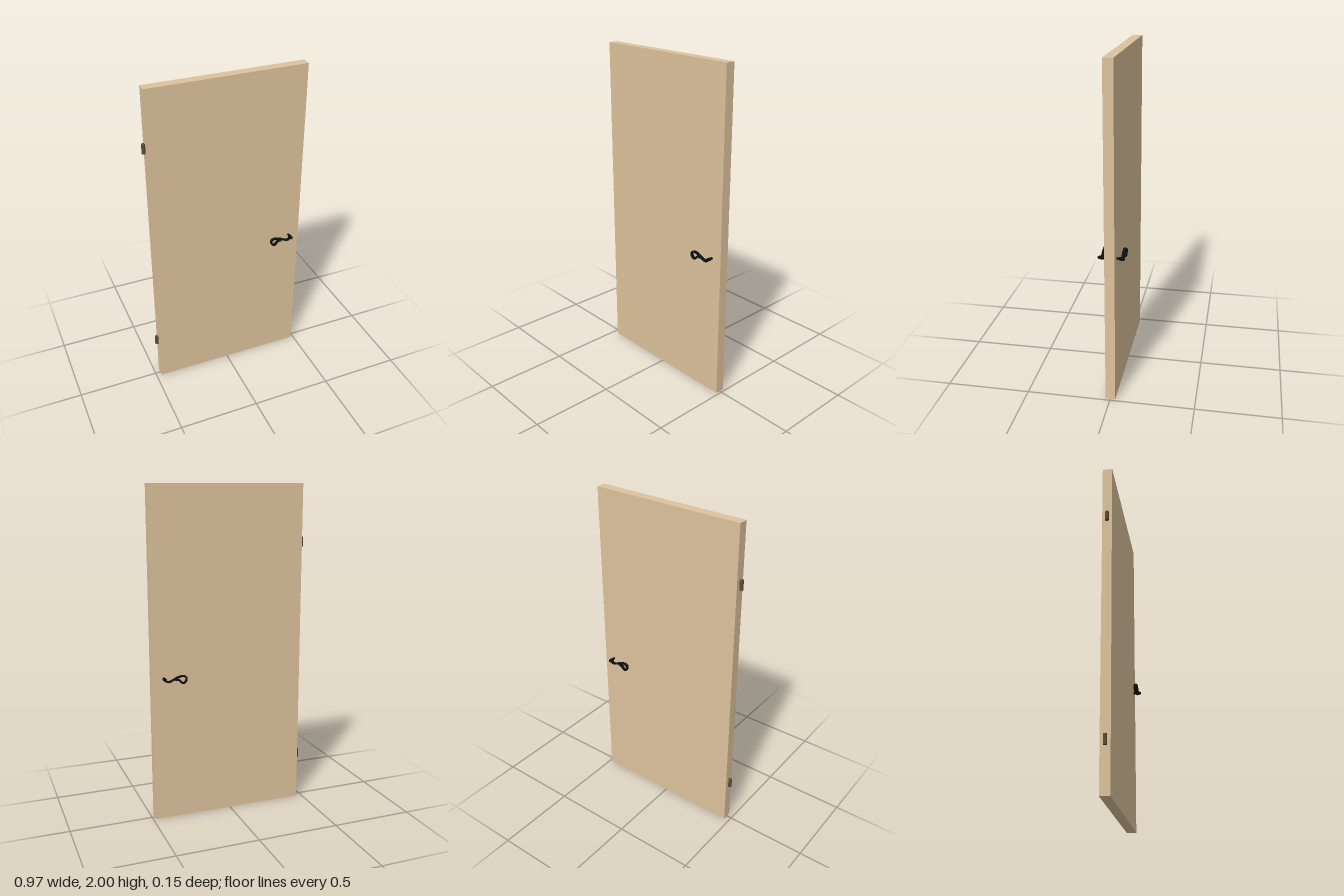
import * as THREE from 'three';

const wood = new THREE.MeshStandardMaterial({ color: 0xdec39c });
const iron = new THREE.MeshStandardMaterial({ color: 0x0e0f0e });
const bronze = new THREE.MeshStandardMaterial({ color: 0x5c4d36 });

function add(parent, name, geometry, material, x, y, z) {
  const mesh = new THREE.Mesh(geometry, material);
  mesh.name = name;
  mesh.position.set(x, y, z);
  parent.add(mesh);
  return mesh;
}

// Curled lever: a flattened tube along a scroll-shaped planar path
function makeLever() {
  const path = new THREE.CatmullRomCurve3([
    [0.418, 0.884], [0.405, 0.870], [0.388, 0.869], [0.365, 0.879], [0.335, 0.892],
    [0.306, 0.897], [0.288, 0.888], [0.287, 0.869], [0.299, 0.855], [0.313, 0.856],
    [0.325, 0.869], [0.338, 0.877], [0.350, 0.876],
  ].map(([x, y]) => new THREE.Vector3(x, y, 0)));
  const lever = new THREE.Group();
  const bar = add(lever, 'leverScroll', new THREE.TubeGeometry(path, 80, 0.006, 12), iron, 0, 0, 0);
  bar.scale.z = 1.9;
  // Rounded tips
  for (const [x, y] of [[0.418, 0.884], [0.350, 0.876]]) {
    const tip = add(lever, 'leverTip', new THREE.SphereGeometry(0.006, 12, 8), iron, x, y, 0);
    tip.scale.z = 1.9;
  }
  // Collar around the spindle
  const collar = add(lever, 'leverCollar', new THREE.CylinderGeometry(0.01, 0.01, 0.028, 16), iron, 0.418, 0.884, 0);
  collar.rotation.x = Math.PI / 2;
  return lever;
}

export function createModel() {
  const model = new THREE.Group();
  model.name = 'door';

  // Door slab
  add(model, 'doorPanel', new THREE.BoxGeometry(0.952, 2, 0.058), wood, 0.009, 1, -0.001);

  // Hinge barrels
  for (const y of [0.288, 1.652])
    add(model, 'hinge', new THREE.CylinderGeometry(0.011, 0.011, 0.058, 16), bronze, -0.477, y, 0);

  // Spindle through the door, with a lever on each face
  const spindle = add(model, 'handleSpindle', new THREE.CylinderGeometry(0.007, 0.007, 0.154, 16), iron, 0.418, 0.884, 0);
  spindle.rotation.x = Math.PI / 2;
  for (const [name, z] of [['frontHandle', 0.057], ['backHandle', -0.059]]) {
    const lever = makeLever();
    lever.name = name;
    lever.position.z = z;
    model.add(lever);
  }
  return model;
}
